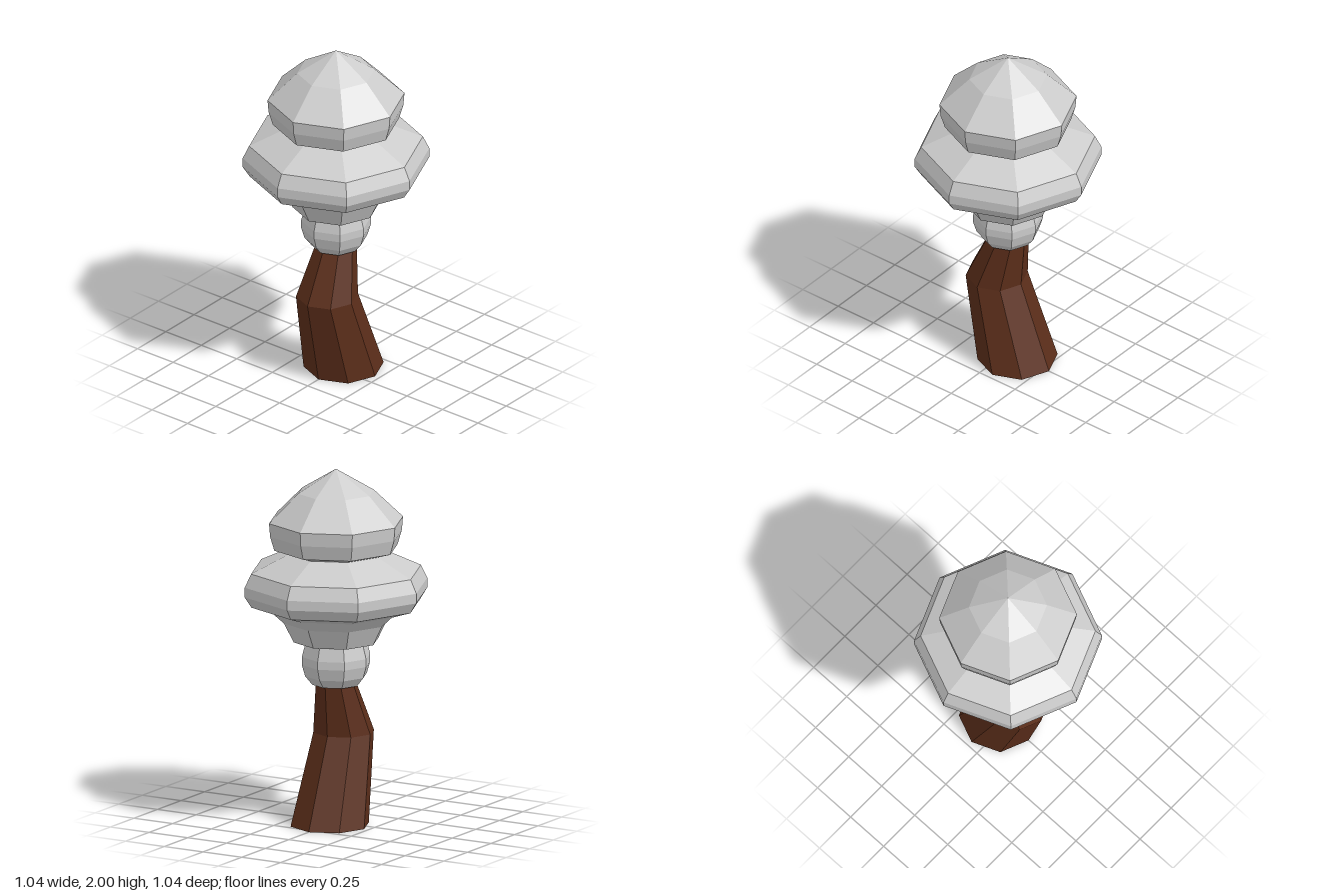
import * as THREE from 'three';

const SIDES = 8;

// Faceted solid of revolution from [radius, height] pairs, bottom to top
function turned(name, profile, color) {
  const points = profile.map(([r, y]) => new THREE.Vector2(r, y));
  const geometry = new THREE.LatheGeometry(points, SIDES);
  const material = new THREE.MeshStandardMaterial({ color, flatShading: true });
  const mesh = new THREE.Mesh(geometry, material);
  mesh.name = name;
  return mesh;
}

export function createModel() {
  const model = new THREE.Group();
  model.name = 'tree';

  // Bent trunk: each ring slides along z
  const rings = [[0.222, 0, -0.067], [0.172, 0.5, 0.08], [0.115, 0.785, 0]];
  const trunk = turned('trunk', [[0, 0], ...rings, [0, 0.785]], 0x5c2e1a);
  const pos = trunk.geometry.attributes.position;
  for (let i = 0; i < pos.count; i++) {
    const ring = rings.find(([, y]) => Math.abs(y - pos.getY(i)) < 1e-4);
    pos.setZ(i, pos.getZ(i) + ring[2]);
  }
  trunk.geometry.computeVertexNormals();
  model.add(trunk);

  // Tiered foliage
  model.add(turned('lowerFoliage', [
    [0, 0.785], [0.135, 0.785], [0.175, 0.835], [0.194, 0.9],
    [0.194, 0.945], [0.175, 1.015], [0.2, 1.02],
  ], 0xcccccc));
  model.add(turned('middleFoliage', [
    [0.17, 1.02], [0.24, 1.03], [0.295, 1.14], [0.36, 1.2], [0.48, 1.24],
    [0.518, 1.3], [0.518, 1.355], [0.482, 1.43], [0.27, 1.53],
  ], 0xcccccc));
  model.add(turned('upperFoliage', [
    [0.27, 1.53], [0.35, 1.555], [0.374, 1.635], [0.38, 1.71],
    [0.215, 1.87], [0, 2],
  ], 0xcccccc));

  return model;
}
